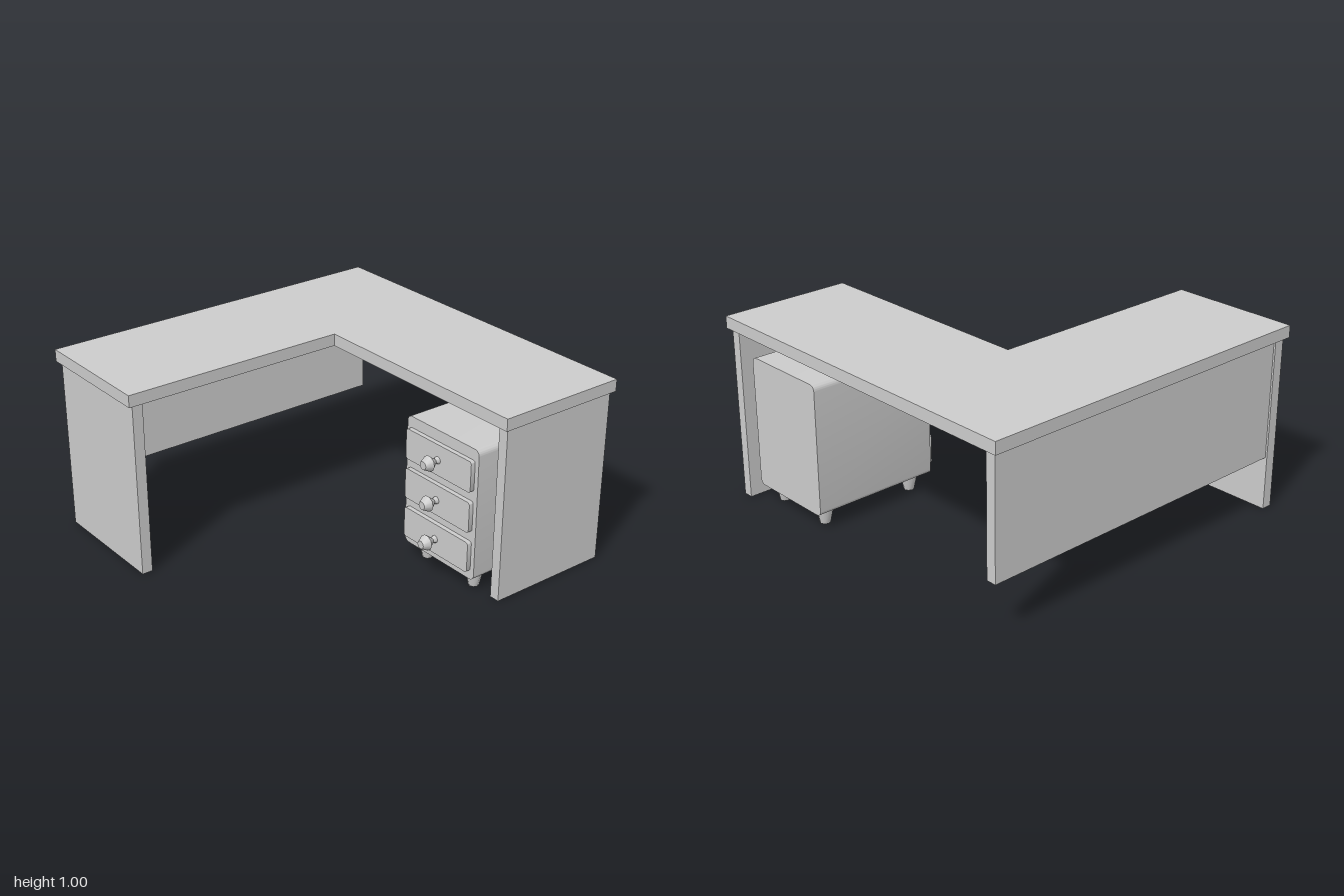
import * as THREE from 'three';
import { toCreasedNormals } from 'three/addons/utils/BufferGeometryUtils.js';

const material = new THREE.MeshStandardMaterial({ color: 0xcccccc });

function addMesh(parent, name, geometry) {
  const mesh = new THREE.Mesh(geometry, material);
  mesh.name = name;
  parent.add(mesh);
  return mesh;
}

// Box given by its limits on each axis
function addPanel(parent, name, [x0, x1], [y0, y1], [z0, z1]) {
  const mesh = addMesh(parent, name, new THREE.BoxGeometry(x1 - x0, y1 - y0, z1 - z0));
  mesh.position.set((x0 + x1) / 2, (y0 + y1) / 2, (z0 + z1) / 2);
}

// Block with its four corners rounded in the z-y plane, extruded along x
function addRoundedBlock(parent, name, [x0, x1], [y0, y1], [z0, z1], r) {
  const s = new THREE.Shape();
  s.moveTo(z0 + r, y0);
  s.lineTo(z1 - r, y0);
  s.absarc(z1 - r, y0 + r, r, -Math.PI / 2, 0);
  s.lineTo(z1, y1 - r);
  s.absarc(z1 - r, y1 - r, r, 0, Math.PI / 2);
  s.lineTo(z0 + r, y1);
  s.absarc(z0 + r, y1 - r, r, Math.PI / 2, Math.PI);
  s.lineTo(z0, y0 + r);
  s.absarc(z0 + r, y0 + r, r, Math.PI, Math.PI * 1.5);
  const extruded = new THREE.ExtrudeGeometry(s, { depth: x1 - x0, bevelEnabled: false, curveSegments: 5 });
  const geometry = toCreasedNormals(extruded, 0.6).rotateY(-Math.PI / 2);
  addMesh(parent, name, geometry).position.x = x1;
}

export function createModel() {
  const model = new THREE.Group();
  model.name = 'cornerDesk';

  // L-shaped top, drawn in x and -z, then laid flat
  const outline = [[-0.985, 0.29], [0.255, 0.29], [0.255, -1], [0.985, -1], [0.985, 1], [-0.985, 1]];
  const topShape = new THREE.Shape(outline.map(([x, y]) => new THREE.Vector2(x, y)));
  const topGeometry = new THREE.ExtrudeGeometry(topShape, { depth: 0.065, bevelEnabled: false });
  addMesh(model, 'desktop', topGeometry.rotateX(-Math.PI / 2)).position.y = 0.935;

  // Supporting panels
  addPanel(model, 'sidePanel', [-0.963, -0.905], [0, 0.935], [-0.98, -0.3]);
  addPanel(model, 'frontPanel', [0.275, 0.96], [0, 0.935], [0.93, 0.985]);
  addPanel(model, 'modestyPanel', [-0.905, 0.96], [0.29, 0.935], [-0.97, -0.915]);

  // Drawer cabinet
  const cabinet = new THREE.Group();
  cabinet.name = 'drawerCabinet';
  model.add(cabinet);
  addRoundedBlock(cabinet, 'cabinetBody', [0.205, 0.925], [0.088, 0.8], [0.362, 0.877], 0.03);

  // Drawers, each with a turned knob facing -x
  const knobProfile = [[0.02, 0], [0.013, 0.02], [0.042, 0.057], [0.022, 0.095], [0, 0.095]]
    .map(([r, h]) => new THREE.Vector2(r, h));
  const knobGeometry = toCreasedNormals(new THREE.LatheGeometry(knobProfile, 10), 0.9).rotateZ(Math.PI / 2);
  for (let i = 0; i < 3; i++) {
    const y = 0.217 + i * 0.22;
    addRoundedBlock(cabinet, 'drawerFront', [0.18, 0.205], [y - 0.083, y + 0.083], [0.382, 0.852], 0.015);
    addMesh(cabinet, 'drawerKnob', knobGeometry).position.set(0.18, y, 0.617);
  }

  // Tapered feet
  const footGeometry = toCreasedNormals(new THREE.CylinderGeometry(0.047, 0.028, 0.09, 8), 0.9);
  for (const x of [0.29, 0.84]) {
    for (const z of [0.445, 0.793]) {
      addMesh(cabinet, 'cabinetFoot', footGeometry).position.set(x, 0.045, z);
    }
  }
  return model;
}
